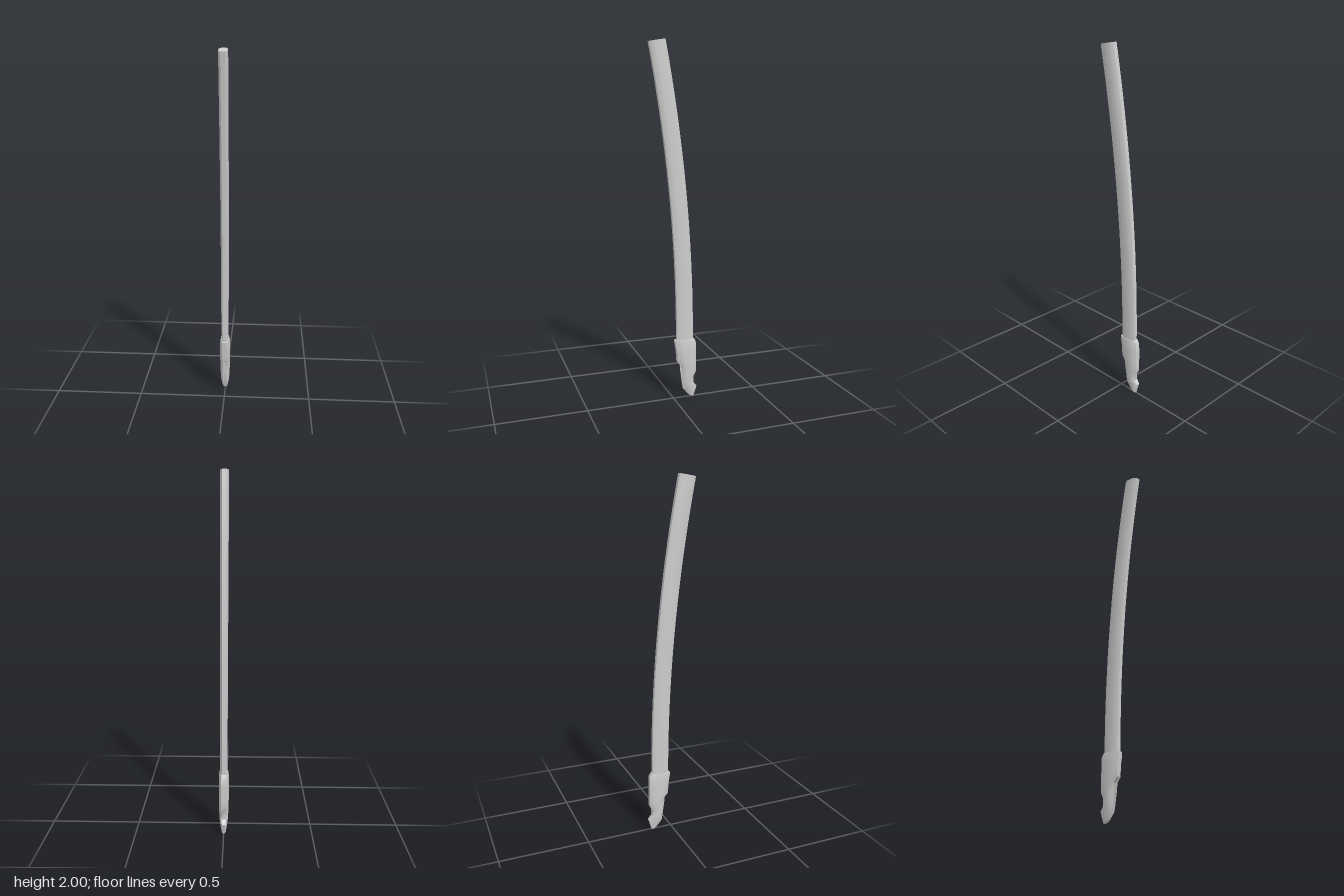
import * as THREE from 'three';
import { toCreasedNormals } from 'three/addons/utils/BufferGeometryUtils.js';

const material = new THREE.MeshStandardMaterial({ color: 0xcccccc, side: THREE.DoubleSide });

// Half outline of a section: [share of half width, share of depth from front to back].
const half = [[0.5, 0], [0.8, 0.13], [1, 0.3], [1, 0.7], [0.8, 0.87], [0.5, 1]];

// Ring of points; the groove is a share of the depth cut into the front.
function ring({ yf, yb, zf, zb, w, groove = 0 }) {
  const right = [[0.34, groove], [0.42, 0], ...half];
  const left = right.map(([x, u]) => [-x, u]).reverse();
  return [...right, ...left].map(([x, u]) =>
    new THREE.Vector3(x * w, yf + (yb - yf) * u, zf + (zb - zf) * u));
}

// Closed skin through sections ordered from bottom to top.
function loft(name, sections, crease) {
  const rings = sections.map(ring);
  const n = rings[0].length;
  const pos = [];
  const tri = (...pts) => pts.forEach((p) => pos.push(p.x, p.y, p.z));
  for (let i = 0; i < rings.length - 1; i++) {
    for (let j = 0; j < n; j++) {
      const k = (j + 1) % n;
      const [a, b, c, d] = [rings[i][j], rings[i][k], rings[i + 1][k], rings[i + 1][j]];
      tri(a, b, c);
      tri(a, c, d);
    }
  }
  const cap = (r, up) => {
    const mid = r.reduce((s, p) => s.add(p), new THREE.Vector3()).divideScalar(n);
    r.forEach((p, j) => {
      const q = r[(j + 1) % n];
      if (up) tri(mid, p, q);
      else tri(mid, q, p);
    });
  };
  cap(rings[0], false);
  cap(rings[rings.length - 1], true);
  const geometry = new THREE.BufferGeometry();
  geometry.setAttribute('position', new THREE.Float32BufferAttribute(pos, 3));
  const mesh = new THREE.Mesh(toCreasedNormals(geometry, crease), material);
  mesh.name = name;
  return mesh;
}

export function createModel() {
  const group = new THREE.Group();
  group.name = 'curvedScabbard';

  // Curved body: a parabola leaning forward, slightly thicker towards the mouth.
  const body = [];
  const steps = 20;
  for (let i = 0; i <= steps; i++) {
    const t = i / steps;
    const y = 0.3 + 1.693 * t;
    const s = Math.max(0, y - 0.35);
    const z = -0.066 + 0.0588 * s * s;
    const angle = Math.atan(0.1 * s);
    const h = 0.048 - 0.002 * t;
    const dy = h * Math.sin(angle), dz = h * Math.cos(angle);
    body.push({ yf: y - dy, yb: y + dy, zf: z + dz, zb: z - dz, w: 0.02 + 0.004 * t });
  }
  group.add(loft('scabbardBody', body, 0.75));

  // End fitting: [front y, back y, front z, back z, half width, groove]
  const fitting = [
    [0.015, 0, -0.088, -0.12, 0.012, 0.15],
    [0.05, 0.062, -0.06, -0.138, 0.02, 0.25],
    [0.085, 0.085, -0.055, -0.118, 0.024, 0.25],
    [0.125, 0.125, -0.05, -0.118, 0.026, 0.25],
    [0.15, 0.15, -0.046, -0.132, 0.027, 0.22],
    [0.195, 0.195, -0.042, -0.132, 0.028, 0.2],
    [0.22, 0.22, -0.021, -0.132, 0.028, 0],
    [0.28, 0.28, -0.018, -0.132, 0.028, 0],
    [0.33, 0.335, -0.009, -0.13, 0.027, 0],
    [0.347, 0.355, -0.008, -0.117, 0.024, 0],
  ].map(([yf, yb, zf, zb, w, groove]) => ({ yf, yb, zf, zb, w, groove }));
  group.add(loft('endFitting', fitting, 0.7));

  return group;
}
